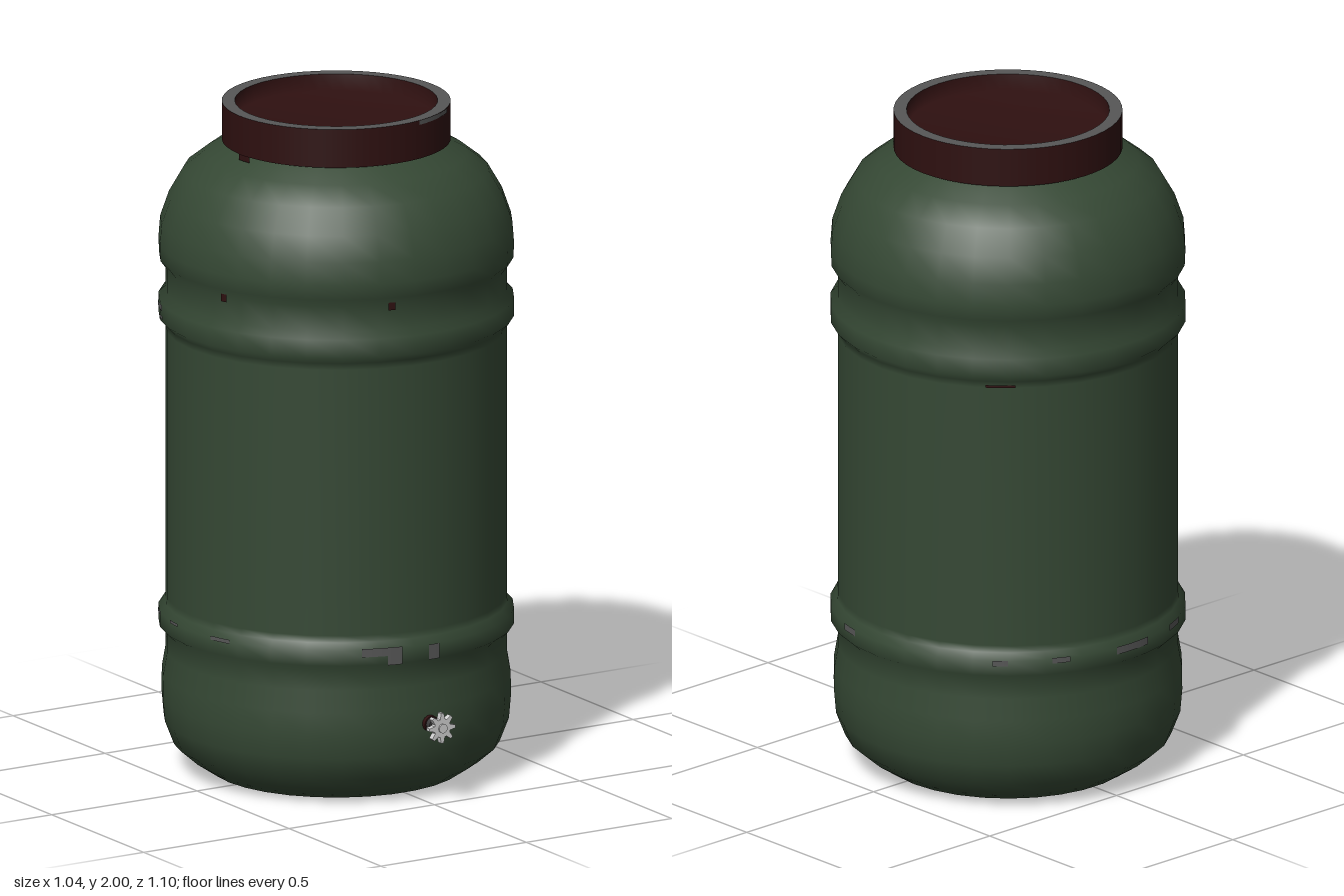
import * as THREE from 'three';

const mat = (name, color, side = THREE.FrontSide) => {
  const m = new THREE.MeshStandardMaterial({ color, side });
  m.name = name;
  return m;
};

export function createModel() {
  const green = mat('green paint', 0x354834);
  const red = mat('dark red', 0x2e1010);
  const grey = mat('worn metal', 0x565656);
  const darkGrey = mat('dark metal', 0x3a3a3a);
  const silver = mat('silver', 0xcfcfcf);

  const model = new THREE.Group();
  model.name = 'barrel';
  const drum = new THREE.Group();
  drum.name = 'drum';
  drum.position.z = -0.033;
  model.add(drum);

  const add = (parent, name, geometry, material) => {
    const mesh = new THREE.Mesh(geometry, material);
    mesh.name = name;
    parent.add(mesh);
    return mesh;
  };
  const lathe = (points, segments) => new THREE.LatheGeometry(
    points.map(([r, y]) => new THREE.Vector2(r, y)), segments, Math.PI / 2);

  // Barrel wall with two raised hoops, swollen shoulder and foot
  add(drum, 'body', lathe([
    [0, 0], [0.37, 0], [0.43, 0.04], [0.476, 0.08], [0.503, 0.15], [0.509, 0.22], [0.508, 0.29],
    [0.497, 0.355], [0.497, 0.415], [0.518, 0.435], [0.518, 0.48], [0.499, 0.5],
    [0.497, 0.52], [0.497, 1.32], [0.499, 1.34], [0.518, 1.36], [0.518, 1.415],
    [0.497, 1.435], [0.497, 1.51], [0.516, 1.535], [0.518, 1.58], [0.513, 1.645],
    [0.487, 1.72], [0.444, 1.795], [0.38, 1.845], [0.3, 1.89],
  ], 30), green);

  // Screw lid: side, rim and recessed top
  add(drum, 'lidUnderside', lathe([[0.28, 1.885], [0.333, 1.885]], 48), red);
  add(drum, 'lidSide', lathe([[0.333, 1.885], [0.333, 2]], 48), red);
  add(drum, 'lidRim', lathe([[0.333, 2], [0.295, 2]], 48), grey);
  add(drum, 'lidRecess', lathe([[0.295, 2], [0.29, 1.95], [0, 1.95]], 48), red);

  // Curved chips of worn paint: angle and width in degrees, bottom, top, radius
  const chip = (name, material, [angle, width, y0, y1, r]) => {
    const g = new THREE.CylinderGeometry(r, r, y1 - y0, 6, 1, true,
      THREE.MathUtils.degToRad(angle - width / 2), THREE.MathUtils.degToRad(width));
    g.translate(0, (y0 + y1) / 2, 0);
    add(drum, name, g, material);
  };
  const hoopR = 0.5195;
  [
    [-18, 12, 0.46, 0.485, hoopR], [-13, 5, 0.432, 0.485, hoopR],
    [1, 4, 0.435, 0.48, hoopR], [-73, 8, 0.475, 0.487, hoopR],
    [-115, 6, 0.475, 0.487, hoopR], [-98, 6, 0.478, 0.487, hoopR],
    [75, 7, 0.465, 0.485, hoopR], [135, 5, 0.465, 0.482, hoopR],
    [155, 6, 0.468, 0.485, hoopR], [182, 14, 0.462, 0.485, hoopR],
    [206, 8, 0.465, 0.485, hoopR],
    [-114, 9, 1.395, 1.412, hoopR], [-111, 5, 1.37, 1.38, hoopR],
    [28, 28, 1.987, 2, 0.3345],
  ].forEach((c) => chip('paintChip', grey, c));
  [
    [-13.5, 2.5, 1.495, 1.518, 0.502], [-73, 2.5, 1.495, 1.518, 0.502],
    [135, 10, 1.322, 1.33, 0.502], [-84, 8, 1.872, 1.89, 0.342],
  ].forEach((c) => chip('rustSpot', red, c));

  // Tap: collar, stem and star-shaped handwheel
  const tap = new THREE.Group();
  tap.name = 'tap';
  tap.position.y = 0.24;
  model.add(tap);
  const rod = (name, r, z0, z1, material) => {
    const g = new THREE.CylinderGeometry(r, r, z1 - z0, 16);
    g.rotateX(Math.PI / 2).translate(0, 0, (z0 + z1) / 2);
    add(tap, name, g, material);
  };
  rod('base', 0.024, 0.44, 0.487, red);
  rod('collar', 0.02, 0.487, 0.505, darkGrey);
  rod('stem', 0.013, 0.505, 0.53, red);

  const star = new THREE.Shape();
  const lobes = 8;
  for (let i = 0; i < lobes * 4; i++) {
    const r = i % 4 < 2 ? 0.045 : 0.028;
    const a = ((i - 0.5) / (lobes * 4)) * Math.PI * 2;
    const x = r * Math.cos(a), y = r * Math.sin(a);
    if (i) star.lineTo(x, y);
    else star.moveTo(x, y);
  }
  star.closePath();
  const wheel = new THREE.ExtrudeGeometry(star, { depth: 0.018, bevelEnabled: false });
  add(tap, 'handwheel', wheel.translate(0, 0, 0.527), silver);
  rod('hub', 0.014, 0.54, 0.55, silver);

  return model;
}
